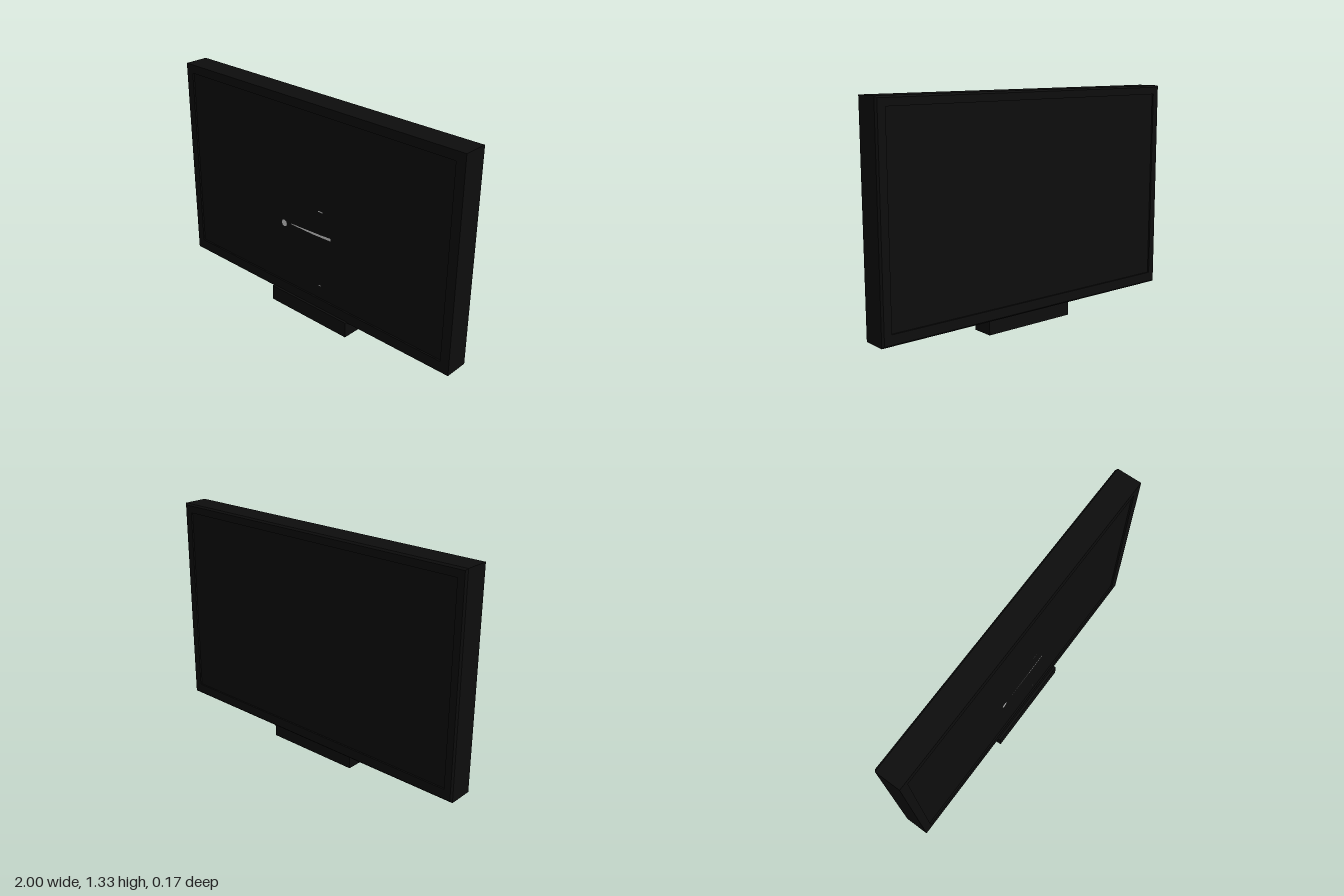
import * as THREE from 'three';

// Surface through a series of rectangles [x0, x1, y0, y1, z], back to front
function loftRectangles(rects) {
  const rings = rects.map(([x0, x1, y0, y1, z]) =>
    [[x0, y0, z], [x1, y0, z], [x1, y1, z], [x0, y1, z]]);
  const pos = [];
  const quad = (a, b, c, d) => pos.push(...a, ...b, ...c, ...a, ...c, ...d);
  for (let i = 0; i < rings.length - 1; i++) {
    for (let j = 0; j < 4; j++) {
      const k = (j + 1) % 4;
      quad(rings[i][j], rings[i][k], rings[i + 1][k], rings[i + 1][j]);
    }
  }
  const geo = new THREE.BufferGeometry();
  geo.setAttribute('position', new THREE.Float32BufferAttribute(pos, 3));
  geo.computeVertexNormals();
  return geo;
}

export function createModel() {
  const group = new THREE.Group();
  const casing = new THREE.MeshStandardMaterial({ color: 0x0d0d0d });
  casing.name = 'black casing';
  const glint = new THREE.MeshStandardMaterial({ color: 0xd0d0d0 });
  glint.name = 'pale grey mark';

  const add = (name, geo, mat, x = 0, y = 0, z = 0) => {
    const mesh = new THREE.Mesh(geo, mat);
    mesh.name = name;
    mesh.position.set(x, y, z);
    group.add(mesh);
    return mesh;
  };

  // Casing with shallow front and back recesses and chamfered back edges
  const inner = [-0.95, 0.945, 0.155, 1.28];
  const back = -0.085, front = 0.07, depth = 0.01;
  add('casing', loftRectangles([
    [...inner, back + depth],
    [...inner, back],
    [-0.99, 0.99, 0.1, 1.322, back],
    [-1, 1, 0.09, 1.332, back + 0.01],
    [-1, 1, 0.09, 1.332, front],
    [...inner, front],
    [...inner, front - depth],
  ]), casing);

  // Screen and back panel fill the recesses
  const [x0, x1, y0, y1] = inner;
  const panel = new THREE.PlaneGeometry(x1 - x0, y1 - y0);
  const cx = (x0 + x1) / 2, cy = (y0 + y1) / 2;
  add('screen', panel, casing, cx, cy, front - depth);
  add('backPanel', panel, casing, cx, cy, back + depth).rotation.y = Math.PI;

  // Foot
  add('stand', new THREE.BoxGeometry(0.59, 0.095, 0.13), casing, 0.007, 0.0475, 0.02);

  // Small pale marks on the screen
  const markZ = front - depth + 0.002;
  add('roundMark', new THREE.CircleGeometry(0.021, 8), glint, -0.2, 0.546, markZ);
  const streak = new THREE.Shape([
    [-0.14, 0.557], [0.03, 0.555], [0.163, 0.56], [0.163, 0.577], [0.09, 0.571], [-0.14, 0.562],
  ].map(([x, y]) => new THREE.Vector2(x, y)));
  add('streakMark', new THREE.ShapeGeometry(streak), glint, 0, 0, markZ);
  add('upperMark', new THREE.PlaneGeometry(0.035, 0.006), glint, 0.085, 0.715, markZ);
  add('lowerMark', new THREE.PlaneGeometry(0.016, 0.005), glint, 0.08, 0.24, markZ);

  return group;
}
